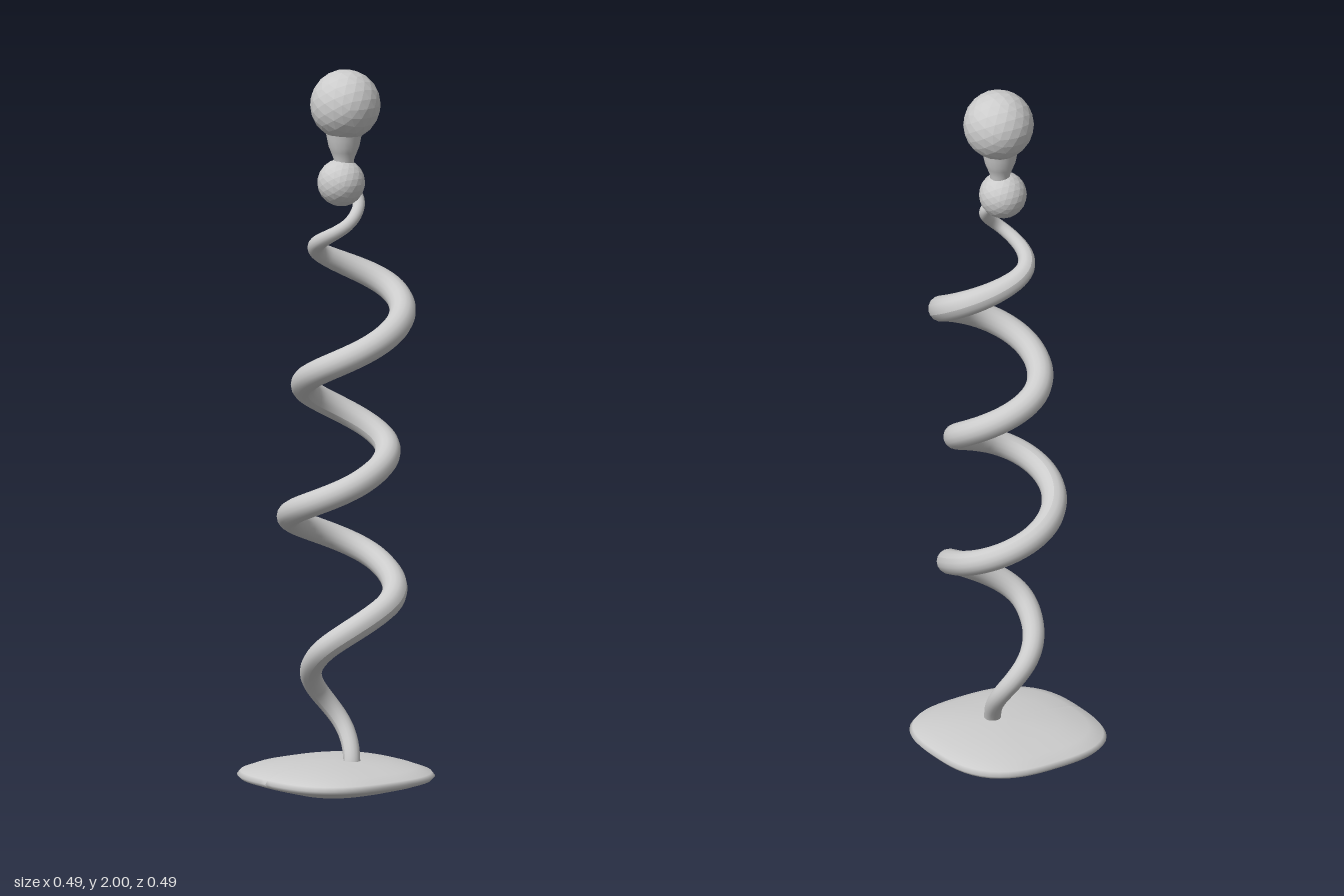
import * as THREE from 'three';

const material = new THREE.MeshStandardMaterial({ color: 0xcccccc });
const facetedMaterial = new THREE.MeshStandardMaterial({ color: 0xcccccc, flatShading: true });

// Turning points of the spiral as [height, offset], and its thickness by height
const SWAY_X = [[0.07, 0.042], [0.28, -0.06], [0.53, 0.138], [0.715, -0.152], [0.89, 0.136],
  [1.09, -0.083], [1.275, 0.168], [1.48, -0.082], [1.59, 0.053], [1.69, 0.015]];
const SWAY_Z = [[0.07, -0.022], [0.18, -0.042], [0.41, 0.088], [0.63, -0.163], [0.81, 0.126],
  [0.98, -0.126], [1.18, 0.1], [1.38, -0.168], [1.53, 0.03], [1.65, -0.053], [1.69, -0.02]];
const THICKNESS = [[0.07, 0.023], [0.55, 0.034], [1.38, 0.036], [1.59, 0.017], [1.69, 0.016]];

// Cosine easing between the entries of a table
function ease(table, y) {
  let i = 0;
  while (i < table.length - 2 && y > table[i + 1][0]) i++;
  const [y0, a] = table[i], [y1, b] = table[i + 1];
  const t = THREE.MathUtils.clamp((y - y0) / (y1 - y0), 0, 1);
  return a + (b - a) * (1 - Math.cos(Math.PI * t)) / 2;
}

function lathe(profile, segments) {
  return new THREE.LatheGeometry(profile.map(([r, y]) => new THREE.Vector2(r, y)), segments);
}

// Pillow-shaped plate: a lathe pushed out towards a rounded square
function plateGeometry() {
  const geometry = lathe([[0, 0.003], [0.06, 0.007], [0.14, 0.022], [0.2, 0.038], [0.235, 0.05],
    [0.244, 0.06], [0.236, 0.071], [0.2, 0.085], [0.13, 0.096], [0.06, 0.101], [0, 0.102]], 64);
  const p = geometry.attributes.position;
  const n = 2.8;
  for (let i = 0; i < p.count; i++) {
    const x = p.getX(i), z = p.getZ(i), r = Math.hypot(x, z);
    if (r < 1e-6) continue;
    const k = r / (Math.abs(x) ** n + Math.abs(z) ** n) ** (1 / n);
    p.setX(i, x * k);
    p.setZ(i, z * k);
  }
  geometry.computeVertexNormals();
  return geometry;
}

// Irregular coil: a tube whose rings are scaled to the local thickness
function coilGeometry() {
  const points = [];
  for (let i = 0; i <= 100; i++) {
    const y = 0.07 + 1.62 * i / 100;
    points.push(new THREE.Vector3(ease(SWAY_X, y), y, ease(SWAY_Z, y)));
  }
  const path = new THREE.CatmullRomCurve3(points);
  path.arcLengthDivisions = 1000;
  const rings = 260, sides = 16;
  const geometry = new THREE.TubeGeometry(path, rings, 1, sides);
  const p = geometry.attributes.position, v = new THREE.Vector3();
  for (let i = 0; i < p.count; i++) {
    const centre = path.getPointAt(Math.floor(i / (sides + 1)) / rings);
    v.fromBufferAttribute(p, i).sub(centre).multiplyScalar(ease(THICKNESS, centre.y)).add(centre);
    p.setXYZ(i, v.x, v.y, v.z);
  }
  geometry.computeVertexNormals();
  return geometry;
}

export function createModel() {
  const model = new THREE.Group();
  const add = (name, geometry, mat, x = 0, y = 0, z = 0) => {
    const mesh = new THREE.Mesh(geometry, mat);
    mesh.name = name;
    mesh.position.set(x, y, z);
    model.add(mesh);
  };

  add('basePlate', plateGeometry(), material);
  add('spiralStem', coilGeometry(), material);
  add('smallBall', new THREE.IcosahedronGeometry(0.065, 3), facetedMaterial, 0.01, 1.69, -0.01);

  // Flared neck joining the two balls
  add('neck', lathe([[0.026, 1.73], [0.028, 1.755], [0.036, 1.775], [0.042, 1.79],
    [0.046, 1.81], [0.05, 1.83]], 20), material, 0.012, 0, -0.018);
  add('topBall', new THREE.IcosahedronGeometry(0.096, 3), facetedMaterial, 0.013, 1.904, -0.022);
  return model;
}
